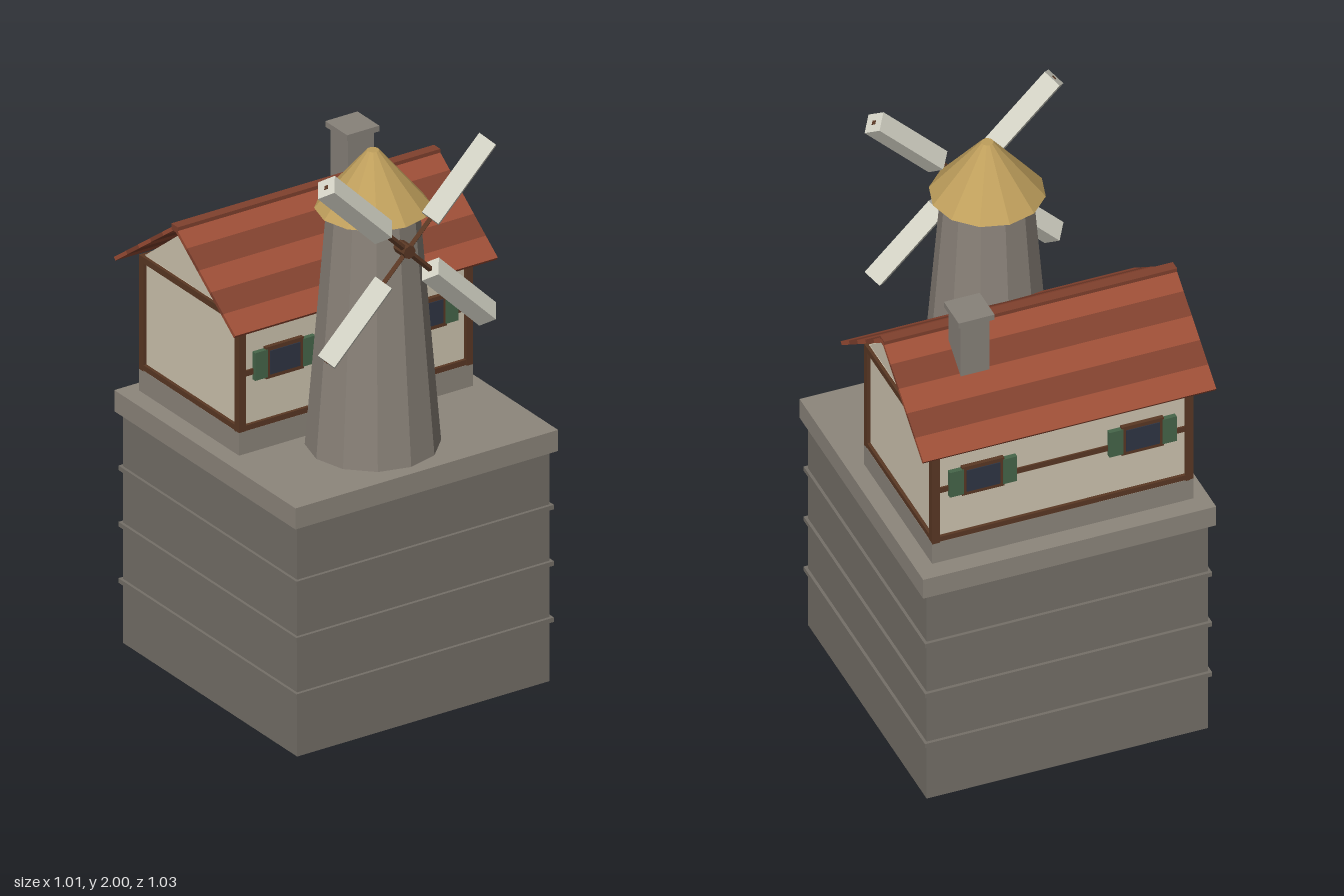
import * as THREE from 'three';

const mat = (color) => new THREE.MeshStandardMaterial({ color, flatShading: true });
const M = {
  stone: mat(0x757068), slab: mat(0x8d867c), tower: mat(0x8a8279), thatch: mat(0xbf9f5c),
  plaster: mat(0xcfc5b0), timber: mat(0x5a3824), tileLight: mat(0x9c4e36), tileDark: mat(0x80412e),
  sail: mat(0xd4d3c6), glass: mat(0x2f3544), shutter: mat(0x46664a), chimney: mat(0x88827a),
};

function add(parent, name, geometry, material, x = 0, y = 0, z = 0) {
  const mesh = new THREE.Mesh(geometry, material);
  mesh.name = name;
  mesh.position.set(x, y, z);
  parent.add(mesh);
  return mesh;
}

const box = (parent, name, material, w, h, d, x, y, z) =>
  add(parent, name, new THREE.BoxGeometry(w, h, d), material, x, y, z);

function group(parent, name, x = 0, y = 0, z = 0) {
  const g = new THREE.Group();
  g.name = name;
  g.position.set(x, y, z);
  parent.add(g);
  return g;
}

// Square stone block with raised courses and an overhanging slab
function buildPedestal(root) {
  const g = group(root, 'pedestal');
  box(g, 'block', M.stone, 0.97, 0.82, 0.99, 0, 0.41, 0);
  for (const y of [0.22, 0.42, 0.62]) box(g, 'band', M.stone, 0.99, 0.016, 1.012, 0, y, 0);
  box(g, 'topSlab', M.slab, 1.01, 0.075, 1.03, 0, 0.8575, 0);
}

// Window facing +z, with frame and two shutters
function buildWindow(parent, x, y, z) {
  const g = group(parent, 'window', x, y, z);
  box(g, 'windowFrame', M.timber, 0.145, 0.112, 0.016, 0, 0, 0);
  box(g, 'windowPane', M.glass, 0.115, 0.084, 0.016, 0, 0, 0.003);
  for (const s of [-1, 1]) box(g, 'shutter', M.shutter, 0.048, 0.098, 0.018, s * 0.092, 0, 0.001);
}

function buildHouse(root) {
  const g = group(root, 'house', 0, 0, -0.172);
  box(g, 'foundation', M.slab, 0.9, 0.08, 0.57, 0, 0.943, 0);
  box(g, 'walls', M.plaster, 0.876, 0.405, 0.546, 0, 1.1825, 0);

  // Timber frame
  for (const sx of [-1, 1]) {
    for (const sz of [-1, 1]) box(g, 'cornerPost', M.timber, 0.026, 0.405, 0.026, sx * 0.437, 1.1825, sz * 0.272);
    for (const y of [0.991, 1.374]) box(g, 'sideBeam', M.timber, 0.024, 0.022, 0.56, sx * 0.437, y, 0);
  }
  // Long sides, identical at front and back
  for (const turn of [0, Math.PI]) {
    const side = group(g, turn ? 'backSide' : 'frontSide');
    side.rotation.y = turn;
    for (const y of [0.991, 1.374]) box(side, 'longBeam', M.timber, 0.89, 0.022, 0.024, 0, y, 0.272);
    box(side, 'midRail', M.timber, 0.88, 0.02, 0.014, 0, 1.183, 0.272);
    for (const x of [-0.275, 0.275]) buildWindow(side, x, 1.203, 0.28);
  }

  // Gable prism under the roof
  const tri = new THREE.Shape([
    new THREE.Vector2(-0.27, 1.385), new THREE.Vector2(0.27, 1.385), new THREE.Vector2(0, 1.595),
  ]);
  const gable = new THREE.ExtrudeGeometry(tri, { depth: 0.872, bevelEnabled: false });
  gable.translate(0, 0, -0.436).rotateY(Math.PI / 2);
  add(g, 'gable', gable, M.plaster);

  // Roof slopes laid in alternating tile courses
  const run = 0.341, drop = 0.25, courses = 5;
  const length = Math.hypot(run, drop) / courses;
  for (const s of [-1, 1]) {
    const slope = group(g, s > 0 ? 'frontRoof' : 'backRoof');
    for (let i = 0; i < courses; i++) {
      const t = (i + 0.5) / courses;
      const tile = box(slope, 'tileCourse', i % 2 ? M.tileDark : M.tileLight,
        1.01, 0.013, length, 0, 1.612 - drop * t, s * run * t);
      tile.rotation.x = s * Math.atan2(drop, run);
    }
  }
  box(g, 'ridge', M.tileDark, 1.01, 0.022, 0.036, 0, 1.609, 0);

  box(g, 'chimney', M.chimney, 0.1, 0.27, 0.1, 0.245, 1.585, -0.098);
  box(g, 'chimneyCap', M.chimney, 0.124, 0.02, 0.124, 0.245, 1.725, -0.098);
}

// Tapered twelve-sided tower with a conical thatch
function buildMill(root) {
  const g = group(root, 'windmill', -0.04, 0, 0.268);
  add(g, 'tower', new THREE.CylinderGeometry(0.149, 0.218, 0.84, 12), M.tower, 0, 1.322, 0);
  add(g, 'thatchRoof', new THREE.CylinderGeometry(0.02, 0.188, 0.2, 12), M.thatch, 0, 1.84, 0);

  const sails = group(g, 'sails', 0, 1.66, 0.194);
  add(sails, 'hub', new THREE.CylinderGeometry(0.023, 0.023, 0.07, 8).rotateX(Math.PI / 2), M.timber, 0, 0, -0.02);
  for (let i = 0; i < 4; i++) {
    const arm = group(sails, 'sailArm');
    arm.rotation.z = Math.PI / 4 + i * Math.PI / 2;
    add(arm, 'spar', new THREE.CylinderGeometry(0.01, 0.01, 0.44, 4), M.timber, 0, 0.2205, 0);
    // Diamond-section sail
    add(arm, 'sail', new THREE.CylinderGeometry(0.046, 0.046, 0.312, 4), M.sail, 0, 0.283, 0);
  }
}

export function createModel() {
  const root = new THREE.Group();
  root.name = 'windmillOnPedestal';
  buildPedestal(root);
  buildHouse(root);
  buildMill(root);
  return root;
}
